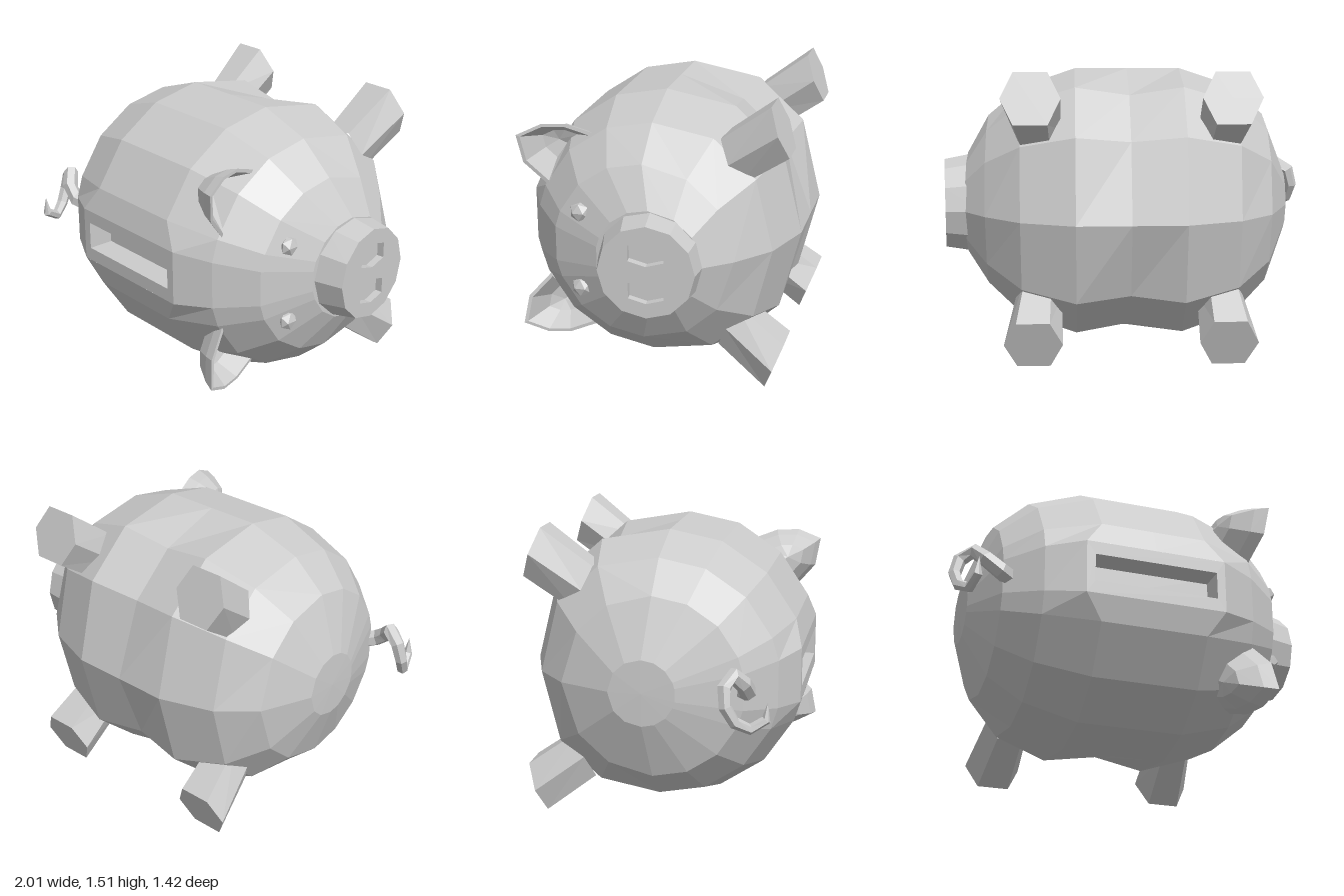
import * as THREE from 'three';

const MID = 0.757; // height of the body axis
const material = new THREE.MeshStandardMaterial({ color: 0xcccccc, flatShading: true });

function mesh(name, geometry) {
  const m = new THREE.Mesh(geometry, material);
  m.name = name;
  return m;
}

// Joins closed loops of Vector3 into a skin; skip(i, j) leaves a quad open.
function loft(loops, skip = () => false) {
  const out = [];
  const tri = (a, b, c) => {
    if (a.distanceTo(b) > 1e-5 && b.distanceTo(c) > 1e-5 && c.distanceTo(a) > 1e-5) {
      for (const p of [a, b, c]) out.push(p.x, p.y, p.z);
    }
  };
  for (let i = 0; i < loops.length - 1; i++) {
    const n = loops[i].length;
    for (let j = 0; j < n; j++) {
      if (skip(i, j)) continue;
      const k = (j + 1) % n;
      tri(loops[i][j], loops[i + 1][j], loops[i + 1][k]);
      tri(loops[i][j], loops[i + 1][k], loops[i][k]);
    }
  }
  const g = new THREE.BufferGeometry();
  g.setAttribute('position', new THREE.Float32BufferAttribute(out, 3));
  g.computeVertexNormals();
  return g;
}

// Barrel body along x: flat strip on the back (+z), swelling where the legs grow
function body() {
  const half = [11.5, 22.5, 45, 67.5, 90, 119, 145, 180];
  const angles = [-11.5, ...half, ...half.slice(1, 7).reverse().map(a => -a)];
  const rings = [ // x, radius, z of the centre
    [-0.85, 0, -0.03], [-0.845, 0.17, -0.03], [-0.735, 0.465, 0], [-0.56, 0.62, 0], [-0.28, 0.715, 0],
    [0, 0.715, 0], [0.28, 0.715, 0], [0.56, 0.62, 0], [0.745, 0.465, 0], [0.855, 0.27, -0.06], [0.86, 0, -0.06],
  ];
  const loops = rings.map(([x, r, cz]) => angles.map(deg => {
    const a = THREE.MathUtils.degToRad(deg), leg = Math.abs(deg) === 119 || Math.abs(deg) === 145;
    let f = 1, px = x;
    if (leg) f = x === 0 ? 0.97 : Math.abs(x) < 0.6 ? 1.04 : 1;
    if (Math.abs(deg) < 12 && Math.abs(x) === 0.28) px = Math.sign(x) * 0.37;
    return new THREE.Vector3(px, MID + r * f * Math.sin(a), cz + r * f * Math.cos(a));
  }));
  return loft(loops, (i, j) => j === 0 && (i === 4 || i === 5));
}

function polygon(points) {
  return points.map(([x, y]) => new THREE.Vector2(x, y));
}

const rect = (w, h) => polygon([[-w, -h], [w, -h], [w, h], [-w, h]]);

// Plate with the coin slot, set in the flat of the back
function coinSlot() {
  const group = new THREE.Group();
  group.name = 'coinSlot';
  const z = 0.715 * Math.cos(THREE.MathUtils.degToRad(11.5));
  const shape = new THREE.Shape(rect(0.37, 0.1425));
  shape.holes.push(new THREE.Path(rect(0.325, 0.073)));
  const plate = mesh('slotPlate', new THREE.ExtrudeGeometry(shape, { depth: 0.14, bevelEnabled: false }));
  const floor = mesh('slotFloor', new THREE.PlaneGeometry(0.68, 0.2));
  plate.position.set(0, MID, z - 0.14);
  floor.position.set(0, MID, z - 0.135);
  group.add(plate, floor);
  return group;
}

// Tapered snout with two sunken six-sided nostrils; local +z points out of the tip
function snout() {
  const group = new THREE.Group();
  group.name = 'snout';
  const side = new THREE.CylinderGeometry(0.24, 0.275, 0.19, 12, 1, true).rotateX(Math.PI / 2);
  side.translate(0, 0, -0.095);
  const circle = [];
  for (let i = 0; i < 12; i++) {
    const a = i / 12 * Math.PI * 2;
    circle.push([0.24 * Math.cos(a), 0.24 * Math.sin(a)]);
  }
  const tip = new THREE.Shape(polygon(circle));
  for (const s of [-1, 1]) {
    const hex = [[0, 0.065], [0.088, 0.04], [0.088, -0.04], [0, -0.065], [-0.088, -0.04], [-0.088, 0.04]];
    tip.holes.push(new THREE.Path(polygon(hex.map(([x, y]) => [x, y + s * 0.098]))));
  }
  const face = new THREE.ExtrudeGeometry(tip, { depth: 0.04, bevelEnabled: false }).translate(0, 0, -0.04);
  const floor = new THREE.CircleGeometry(0.23, 12).translate(0, 0, -0.038);
  group.add(mesh('snoutSide', side), mesh('snoutTip', face), mesh('nostrilFloor', floor));
  group.position.set(0.98, MID, -0.085);
  group.rotation.y = Math.PI / 2 + 0.095;
  return group;
}

// Six-sided leg, slanting out of the belly
function leg() {
  const v = new THREE.Vector3(0, 0.935, 0.355);
  const hex = [[0.15, 0], [0.085, 0.134], [-0.085, 0.134], [-0.15, 0], [-0.085, -0.134], [0.085, -0.134]];
  const loop = (c, sx, sv) => hex.map(([x, t]) => c.clone().addScaledVector(v, t * sv).add(new THREE.Vector3(x * sx, 0, 0)));
  const foot = new THREE.Vector3(0.5, 0.628, -0.648);
  return loft([loop(new THREE.Vector3(0.475, 0.44, -0.39), 0.8, 0.95), loop(foot, 1, 1), loop(foot, 0, 0)]);
}

// Cupped ear opening forwards, with a thin rim
function ear() {
  const rim = [
    [0.53, 1.28, 0.3], [0.5, 1.16, 0.45], [0.57, 1.0, 0.55], [0.62, 1.13, 0.665],
    [0.645, 1.28, 0.69], [0.605, 1.335, 0.57], [0.57, 1.335, 0.45],
  ].map(([x, y, z]) => new THREE.Vector3(x, y - MID, z));
  const centre = new THREE.Vector3(0.56, 1.21 - MID, 0.53);
  const loop = (s, dx) => rim.map(p => {
    const q = centre.clone().lerp(p, s);
    q.x += dx;
    return q;
  });
  return loft([loop(0, -0.15), loop(0.5, -0.14), loop(0.85, -0.06), loop(1, 0), loop(0.88, 0.005), loop(0.45, -0.1), loop(0, -0.11)]);
}

// Curled tail thinning towards its end
function tail() {
  const path = new THREE.CatmullRomCurve3([
    [-0.68, 0.75, 0.44], [-0.79, 0.79, 0.49], [-0.89, 0.89, 0.42], [-0.96, 0.82, 0.395],
    [-0.965, 0.7, 0.43], [-0.915, 0.635, 0.52], [-0.89, 0.69, 0.6], [-0.89, 0.77, 0.6],
  ].map(p => new THREE.Vector3(...p)));
  const steps = 9, sides = 6;
  const g = new THREE.TubeGeometry(path, steps, 0.048, sides);
  const pos = g.attributes.position, p = new THREE.Vector3();
  for (let i = 0; i <= steps; i++) {
    const c = path.getPointAt(i / steps);
    const s = i === steps ? 0 : 1 - 0.55 * i / steps;
    for (let j = 0; j <= sides; j++) {
      const k = i * (sides + 1) + j;
      p.fromBufferAttribute(pos, k).sub(c).multiplyScalar(s).add(c);
      pos.setXYZ(k, p.x, p.y, p.z);
    }
  }
  g.computeVertexNormals();
  return g;
}

export function createModel() {
  const model = new THREE.Group();
  model.name = 'piggyBank';
  model.add(mesh('body', body()), coinSlot(), snout(), mesh('tail', tail()));

  // Paired parts, mirrored about the body axis
  const legGeometry = leg(), earGeometry = ear();
  for (const s of [1, -1]) {
    const upper = s > 0 ? 'upper' : 'lower';
    const half = new THREE.Group();
    half.name = upper + 'Half';
    half.position.y = MID;
    half.scale.y = s;
    const eye = mesh(upper + 'Eye', new THREE.IcosahedronGeometry(0.052, 0));
    eye.position.set(0.79, 0.203, 0.31);
    eye.scale.x = 0.7;
    const frontLeg = mesh(upper + 'FrontLeg', legGeometry);
    const rearLeg = mesh(upper + 'RearLeg', legGeometry);
    rearLeg.scale.x = -1;
    half.add(mesh(upper + 'Ear', earGeometry), eye, frontLeg, rearLeg);
    model.add(half);
  }
  return model;
}
